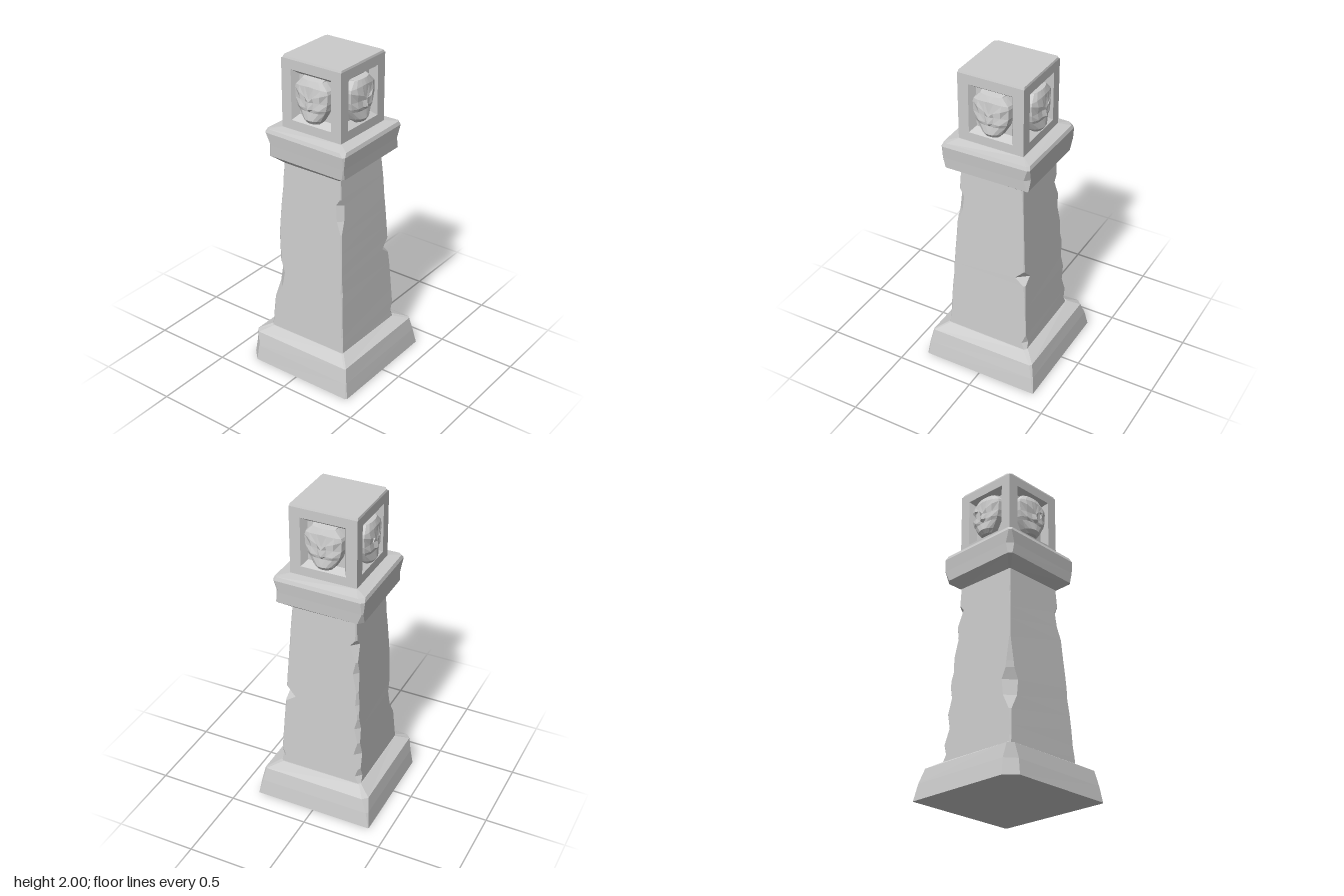
import * as THREE from 'three';

const stone = new THREE.MeshStandardMaterial({ color: 0xcccccc, flatShading: true });
const thinStone = new THREE.MeshStandardMaterial({ color: 0xcccccc, flatShading: true, side: THREE.DoubleSide });

function facetedMesh(name, points, index, material = stone) {
  const indexed = new THREE.BufferGeometry();
  indexed.setAttribute('position', new THREE.Float32BufferAttribute(points.flat(), 3));
  indexed.setIndex(index);
  const geometry = indexed.toNonIndexed();
  geometry.computeVertexNormals();
  const mesh = new THREE.Mesh(geometry, material);
  mesh.name = name;
  return mesh;
}

// Joins equal-sized rings of points with quads and closes the chosen ends.
function loft(name, rings, capStart = true, capEnd = true) {
  const n = rings[0].length, last = (rings.length - 1) * n, index = [];
  for (let r = 0; r < rings.length - 1; r++) {
    for (let j = 0; j < n; j++) {
      const a = r * n + j, b = r * n + (j + 1) % n;
      index.push(a, b, b + n, a, b + n, a + n);
    }
  }
  for (let j = 1; j < n - 1; j++) {
    if (capStart) index.push(0, j + 1, j);
    if (capEnd) index.push(last, last + j, last + j + 1);
  }
  return facetedMesh(name, rings.flat(), index);
}

// Square ring with a chipped corner at each of (+x+z), (+x-z), (-x-z), (-x+z).
function squareRing([y, half, chips = []]) {
  const ring = [];
  for (let k = 0; k < 4; k++) {
    const c = chips[k] || 0.004;
    for (let [x, z] of [[half - c, half], [half, half - c]]) {
      for (let t = 0; t < k; t++) [x, z] = [z, -x];
      const wobble = y > 0.01 && y < 1.98 ? 0.004 * Math.sin(17 * x + 29 * z + 3 * y) : 0;
      ring.push([x, y + wobble, z]);
    }
  }
  return ring;
}

const block = (name, levels) => loft(name, levels.map(squareRing));

// Framed recess on the front of the head.
function createPanel() {
  const rect = (w, bottom, top, z) => [[-w, bottom, z], [w, bottom, z], [w, top, z], [-w, top, z]];
  return loft('recessedPanel', [
    rect(0.207, 1.54, 1.988, 0.207),
    rect(0.14, 1.625, 1.93, 0.207),
    rect(0.113, 1.655, 1.9, 0.165),
  ], false, true);
}

// Faceted mask: each row gives y, slant, half-widths and depths from centre to rim.
function createMask() {
  const rows = [
    [1.905, 0, [0, 0.025, 0.05, 0.07, 0.075], [0.165, 0.165, 0.165, 0.165, 0.165]],
    [1.897, 0, [0, 0.025, 0.05, 0.068, 0.075], [0.212, 0.21, 0.205, 0.195, 0.165]],
    [1.865, -0.1, [0, 0.03, 0.075, 0.108, 0.115], [0.226, 0.224, 0.217, 0.203, 0.165]],
    [1.795, 0.35, [0, 0.025, 0.072, 0.113, 0.12], [0.23, 0.232, 0.226, 0.204, 0.165]],
    [1.775, 0, [0, 0.028, 0.066, 0.11, 0.118], [0.234, 0.222, 0.217, 0.204, 0.165]],
    [1.735, 0, [0, 0.024, 0.066, 0.1, 0.11], [0.242, 0.226, 0.224, 0.203, 0.165]],
    [1.715, 0, [0, 0.022, 0.06, 0.09, 0.1], [0.224, 0.223, 0.217, 0.2, 0.165]],
    [1.665, 0, [0, 0.025, 0.045, 0.062, 0.07], [0.232, 0.228, 0.217, 0.2, 0.165]],
    [1.642, 0, [0, 0.018, 0.03, 0.045, 0.05], [0.215, 0.213, 0.207, 0.195, 0.165]],
    [1.637, 0, [0, 0.018, 0.03, 0.045, 0.05], [0.165, 0.165, 0.165, 0.165, 0.165]],
  ];
  const points = [], index = [];
  for (const [y, slant, xs, zs] of rows) {
    for (let c = -4; c <= 4; c++) {
      const i = Math.abs(c);
      points.push([Math.sign(c) * xs[i], y + slant * xs[i], zs[i]]);
    }
  }
  for (let r = 0; r < rows.length - 1; r++) {
    for (let c = 0; c < 8; c++) {
      if (r === 3 && (c === 2 || c === 5)) continue; // open eyes
      const a = r * 9 + c, b = a + 9;
      if (c < 4) index.push(a, b, b + 1, a, b + 1, a + 1);
      else index.push(a, b, a + 1, b, b + 1, a + 1);
    }
  }
  return facetedMesh('mask', points, index, thinStone);
}

export function createModel() {
  const model = new THREE.Group();
  model.name = 'stonePillar';

  // Plinth with a broken front corner
  model.add(block('plinth', [
    [0, 0.38, [0.01, 0.004, 0.004, 0.068]],
    [0.1, 0.365, [0.006, 0.01, 0.012, 0.06]],
    [0.19, 0.348, [0.008, 0.012, 0.03, 0.03]],
    [0.225, 0.275, [0.01, 0.02, 0.01, 0.02]],
  ]));

  // Tapering shaft with chipped edges
  const shaftLevels = [
    [0.2, [0, 0, 0, 0]],
    [0.27, [0, 0.03, 0.035, 0.01]],
    [0.33, [0.008, 0, 0.012, 0.01]],
    [0.43, [0, 0, 0.04, 0.012]],
    [0.52, [0, 0, 0.012, 0.055]],
    [0.62, [0.01, 0.005, 0.03, 0.065]],
    [0.69, [0, 0.01, 0.01, 0.035]],
    [0.73, [0, 0.065, 0.008, 0.03]],
    [0.79, [0, 0.006, 0.02, 0.02]],
    [0.88, [0.006, 0, 0.01, 0.006]],
    [1.0, [0.006, 0, 0.03, 0]],
    [1.08, [0.03, 0.006, 0.01, 0]],
    [1.18, [0.035, 0, 0.045, 0.008]],
    [1.22, [0.006, 0, 0.01, 0]],
    [1.36, [0, 0.01, 0, 0.006]],
  ];
  model.add(block('shaft', shaftLevels.map(([y, chips]) => [y, 0.272 - (y - 0.2) * 0.06, chips])));

  // Flared collar
  model.add(block('collar', [
    [1.335, 0.203, [0.01, 0, 0, 0.01]],
    [1.39, 0.271, [0.012, 0.006, 0.03, 0.02]],
    [1.46, 0.276, [0.004, 0.03, 0.008, 0.035]],
    [1.535, 0.283, [0.012, 0.012, 0.02, 0.012]],
    [1.557, 0.275, [0.025, 0.015, 0.03, 0.02]],
    [1.565, 0.21],
  ]));

  // Head: worn cap and four carved sides
  model.add(block('headCap', [
    [1.91, 0.16],
    [1.986, 0.207, [0.004, 0.004, 0.008, 0.012]],
    [2, 0.203, [0.006, 0.006, 0.01, 0.02]],
  ]));
  for (let k = 0; k < 4; k++) {
    const side = new THREE.Group();
    side.name = 'carvedSide';
    side.add(createPanel(), createMask());
    side.rotation.y = k * Math.PI / 2;
    model.add(side);
  }
  return model;
}
